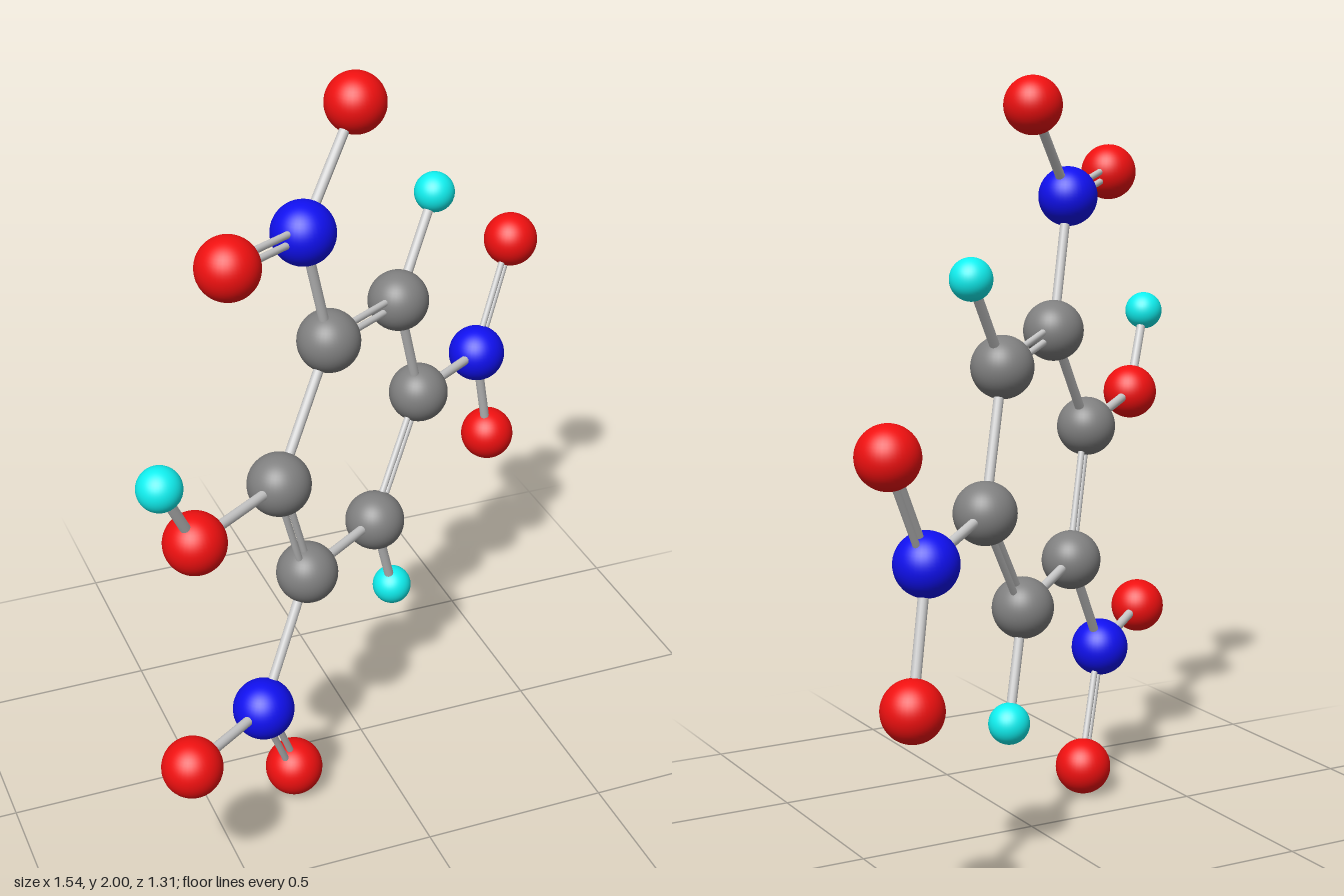
import * as THREE from 'three';

// Element styles: radius and colour
const ELEMENTS = {
  carbon: { radius: 0.081, color: 0x808080 },
  nitrogen: { radius: 0.08, color: 0x1010f0 },
  oxygen: { radius: 0.077, color: 0xf01010 },
  hydrogen: { radius: 0.054, color: 0x10f0f0 },
};

// Atoms: element, x, y, z
const ATOMS = {
  ring1: ['carbon', -0.132, 1.328, 0.116],
  ring2: ['carbon', 0.153, 1.278, -0.122],
  ring3: ['carbon', 0.257, 0.931, -0.222],
  ring4: ['carbon', 0.074, 0.638, -0.085],
  ring5: ['carbon', -0.212, 0.685, 0.156],
  ring6: ['carbon', -0.32, 1.034, 0.26],
  topNitrogen: ['nitrogen', -0.228, 1.676, 0.206],
  topOxygenA: ['oxygen', -0.038, 1.923, 0.06],
  topOxygenB: ['oxygen', -0.487, 1.725, 0.423],
  sideNitrogen: ['nitrogen', 0.54, 0.882, -0.46],
  sideOxygenA: ['oxygen', 0.692, 1.167, -0.577],
  sideOxygenB: ['oxygen', 0.618, 0.558, -0.538],
  lowNitrogen: ['nitrogen', -0.385, 0.384, 0.288],
  lowOxygenA: ['oxygen', -0.646, 0.427, 0.503],
  lowOxygenB: ['oxygen', -0.265, 0.079, 0.176],
  hydroxylOxygen: ['oxygen', -0.615, 1.077, 0.505],
  hydroxylHydrogen: ['hydrogen', -0.72, 1.301, 0.6],
  upperHydrogen: ['hydrogen', 0.301, 1.516, -0.237],
  lowerHydrogen: ['hydrogen', 0.158, 0.358, -0.163],
};

const SINGLE_BONDS = [
  ['ring2', 'ring3'], ['ring4', 'ring5'], ['ring6', 'ring1'],
  ['ring1', 'topNitrogen'], ['topNitrogen', 'topOxygenA'],
  ['ring3', 'sideNitrogen'], ['sideNitrogen', 'sideOxygenB'],
  ['ring5', 'lowNitrogen'], ['lowNitrogen', 'lowOxygenA'],
  ['ring6', 'hydroxylOxygen'], ['hydroxylOxygen', 'hydroxylHydrogen'],
  ['ring2', 'upperHydrogen'], ['ring4', 'lowerHydrogen'],
];

const DOUBLE_BONDS = [
  ['ring1', 'ring2'], ['ring3', 'ring4'], ['ring5', 'ring6'],
  ['topNitrogen', 'topOxygenB'], ['sideNitrogen', 'sideOxygenA'],
  ['lowNitrogen', 'lowOxygenB'],
];

const position = (name) => new THREE.Vector3(...ATOMS[name].slice(1));

export function createModel() {
  const model = new THREE.Group();
  model.name = 'molecule';

  // Atoms, sharing one sphere and material per element
  const styles = {};
  for (const [element, { radius, color }] of Object.entries(ELEMENTS)) {
    styles[element] = {
      geometry: new THREE.SphereGeometry(radius, 40, 28),
      material: new THREE.MeshStandardMaterial({ color }),
    };
  }
  for (const [name, [element]] of Object.entries(ATOMS)) {
    const atom = new THREE.Mesh(styles[element].geometry, styles[element].material);
    atom.name = name;
    atom.position.copy(position(name));
    model.add(atom);
  }

  // Bonds: rods from atom centre to atom centre
  const rodMaterial = new THREE.MeshStandardMaterial({ color: 0xcccccc });
  const up = new THREE.Vector3(0, 1, 0);
  const addRod = (from, to, radius, name, offset = new THREE.Vector3()) => {
    const direction = to.clone().sub(from);
    const rod = new THREE.Mesh(
      new THREE.CylinderGeometry(radius, radius, direction.length(), 16), rodMaterial);
    rod.name = name;
    rod.position.copy(from).add(to).multiplyScalar(0.5).add(offset);
    rod.quaternion.setFromUnitVectors(up, direction.normalize());
    model.add(rod);
  };
  for (const [a, b] of SINGLE_BONDS) addRod(position(a), position(b), 0.013, 'singleBond');

  // Double bonds are two thinner rods side by side in the ring's plane
  const normal = position('ring1').sub(position('ring4'))
    .cross(position('ring2').sub(position('ring5'))).normalize();
  for (const [a, b] of DOUBLE_BONDS) {
    const from = position(a), to = position(b);
    const across = to.clone().sub(from).cross(normal).normalize();
    for (const side of [-1, 1]) {
      addRod(from, to, 0.009, 'doubleBond', across.clone().multiplyScalar(side * 0.0135));
    }
  }
  return model;
}
